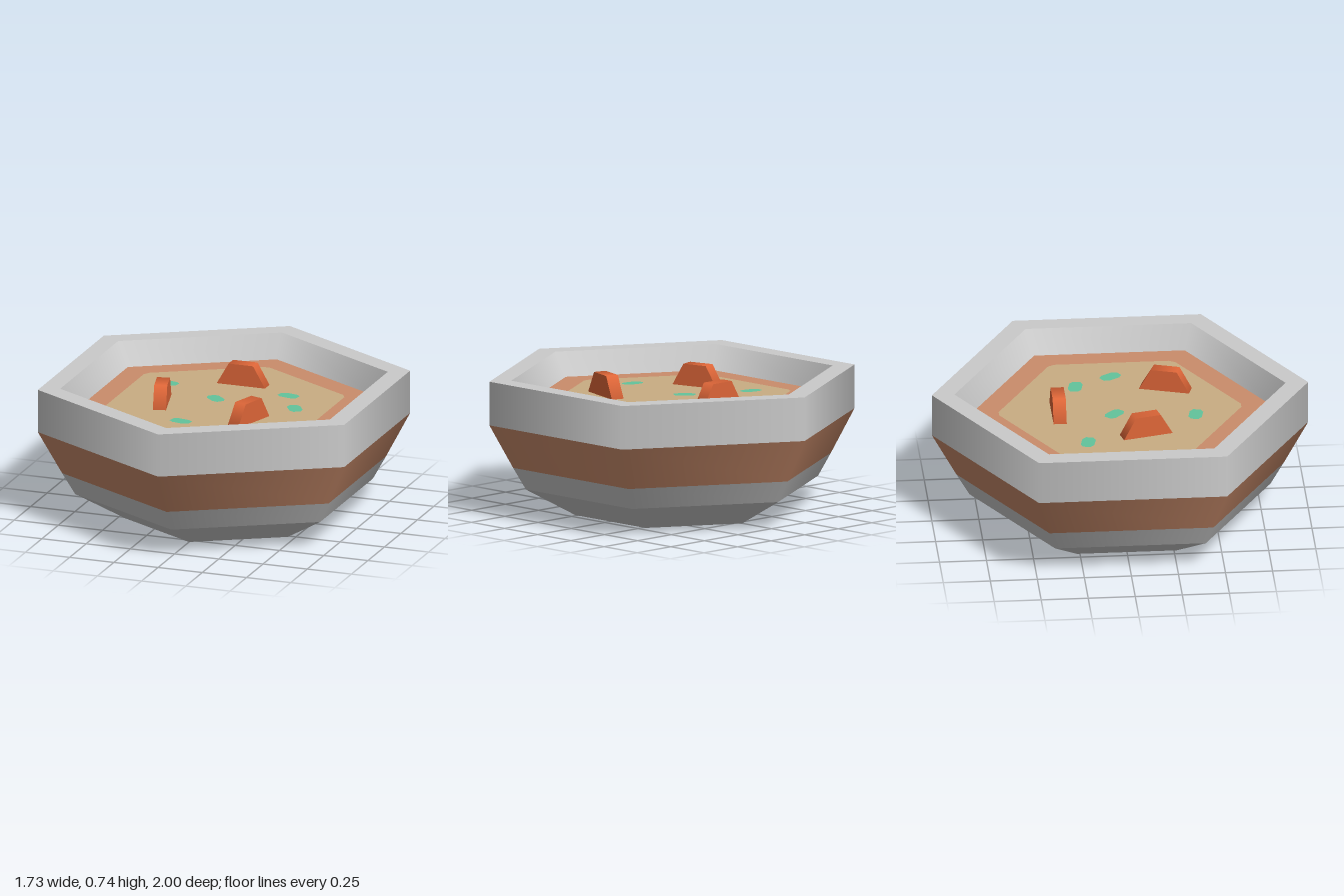
import * as THREE from 'three';

const mat = (name, color) => {
  const m = new THREE.MeshStandardMaterial({ color });
  m.name = name;
  return m;
};

export function createModel() {
  const group = new THREE.Group();
  group.name = 'soupBowl';
  const stone = mat('stone grey', 0xcacaca);
  const clay = mat('clay brown', 0xca8c6b);
  const broth = mat('tan broth', 0xc9ad83);
  const carrot = mat('carrot orange', 0xde6638);
  const herb = mat('herb green', 0x62c49c);

  const add = (name, geometry, material) => {
    const mesh = new THREE.Mesh(geometry, material);
    mesh.name = name;
    group.add(mesh);
    return mesh;
  };

  // Six-sided band between two [radius, height] points
  const band = (name, a, b, material) =>
    add(name, new THREE.LatheGeometry([new THREE.Vector2(...a), new THREE.Vector2(...b)], 6), material);

  // Flat polygon facing up, with each corner cut by a fraction of its sides
  const plate = (corners, cut) => {
    const pts = [];
    corners.forEach((p, i) => {
      const prev = corners[(i + corners.length - 1) % corners.length];
      const next = corners[(i + 1) % corners.length];
      pts.push(p.clone().lerp(prev, cut), p.clone().lerp(next, cut));
    });
    return new THREE.ShapeGeometry(new THREE.Shape(pts)).rotateX(-Math.PI / 2);
  };

  // Bowl, from the base up and over the rim
  band('base', [0, 0], [0.53, 0], stone);
  band('foot', [0.53, 0], [0.8, 0.15], stone);
  band('lowerWall', [0.8, 0.15], [0.87, 0.27], stone);
  band('paintedBand', [0.87, 0.27], [1, 0.505], clay);
  band('upperWall', [1, 0.505], [1, 0.74], stone);
  band('rim', [1, 0.74], [0.88, 0.74], stone);
  band('innerWall', [0.88, 0.74], [0.8, 0.615], stone);

  // Soup surface with a paler middle
  const level = 0.615;
  band('soupEdge', [0.8, level], [0, level], clay);
  const hexagon = [];
  for (let i = 0; i < 6; i++) {
    const a = Math.PI / 6 + (i * Math.PI) / 3;
    hexagon.push(new THREE.Vector2(Math.cos(a) * 0.655, Math.sin(a) * 0.655));
  }
  add('soupMiddle', plate(hexagon, 0.035), broth).position.y = level + 0.003;

  // Half-sunk six-sided carrot slices: x, z, heading
  const slice = new THREE.CylinderGeometry(0.138, 0.138, 0.07, 3, 1, false, 0, Math.PI);
  slice.rotateZ(Math.PI / 2);
  [
    [-0.015, -0.33, Math.PI / 2],
    [-0.307, 0.115, 0.25],
    [0.235, 0.26, -0.3],
  ].forEach(([x, z, turn]) => {
    const mesh = add('carrotSlice', slice, carrot);
    mesh.position.set(x, level, z);
    mesh.rotation.y = turn;
  });

  // Herb flakes: x, z, turn
  const flake = plate(
    [[0.058, 0.036], [-0.058, 0.036], [-0.058, -0.036], [0.058, -0.036]].map((p) => new THREE.Vector2(...p)),
    0.22
  );
  [
    [-0.39, -0.2, 0.22],
    [0.285, -0.215, 0.2],
    [-0.06, -0.035, 0.75],
    [0.393, -0.02, 1.0],
    [-0.097, 0.395, 0.2],
  ].forEach(([x, z, turn]) => {
    const mesh = add('herbFlake', flake, herb);
    mesh.position.set(x, level + 0.007, z);
    mesh.rotation.y = -turn;
  });

  return group;
}
